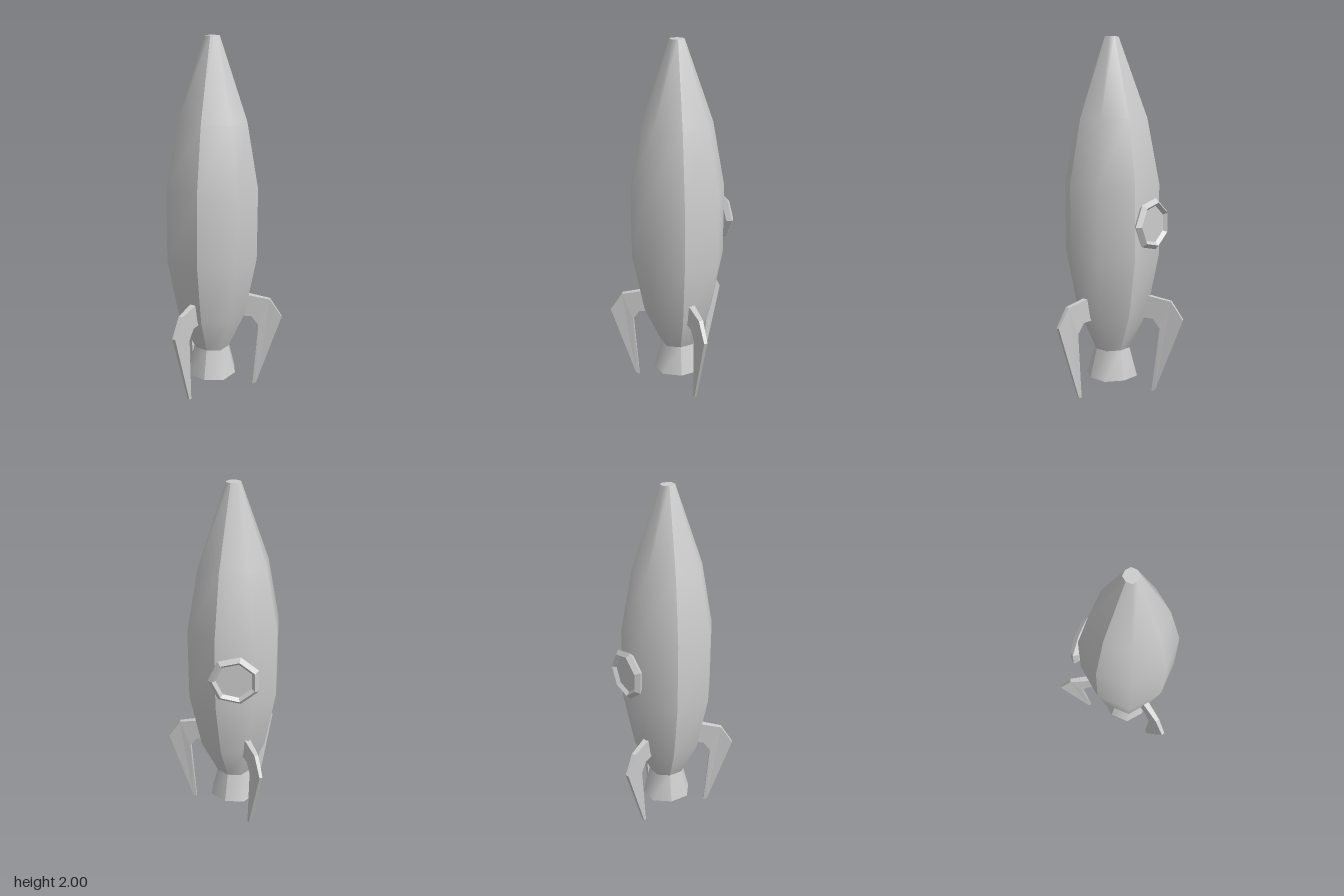
import * as THREE from 'three';
import { mergeGeometries } from 'three/addons/utils/BufferGeometryUtils.js';

const CX = -0.003, CZ = 0.073; // hull axis
const smooth = new THREE.MeshStandardMaterial({ color: 0xcccccc });
const flat = new THREE.MeshStandardMaterial({ color: 0xcccccc, flatShading: true });

function add(parent, name, geometry, material) {
  const mesh = new THREE.Mesh(geometry, material);
  mesh.name = name;
  parent.add(mesh);
  return mesh;
}

// Slightly squared octagon: diagonal corners sit a little closer in
const corner = (k, r) => {
  const a = k * Math.PI / 4, f = k % 2 ? 0.945 : 1;
  return [Math.sin(a) * r * f, Math.cos(a) * r * f];
};

// Four smooth panels meeting in sharp creases along the diagonals; profile = [radius, y]
function octagonShell(profile) {
  const panels = [];
  for (let q = 0; q < 4; q++) {
    const pos = [], index = [];
    profile.forEach(([r, y], i) => {
      for (let j = 0; j < 3; j++) {
        const [x, z] = corner(q * 2 + j + 7, r);
        pos.push(x, y, z);
        if (i && j) {
          const c = i * 3 + j, a = c - 4, b = c - 3, d = c - 1;
          index.push(a, b, c, a, c, d);
        }
      }
    });
    const g = new THREE.BufferGeometry();
    g.setAttribute('position', new THREE.Float32BufferAttribute(pos, 3));
    g.setIndex(index);
    g.computeVertexNormals();
    panels.push(g);
  }
  return mergeGeometries(panels);
}

function octagonCap(r, y, up) {
  const pts = Array.from({ length: 8 }, (_, k) => new THREE.Vector2(...corner(k, r)));
  return new THREE.ShapeGeometry(new THREE.Shape(pts))
    .rotateX(up ? -Math.PI / 2 : Math.PI / 2).translate(0, y, 0);
}

// Hooked leg, thick at the root and thin at the foot; x runs outward from the hull
function finGeometry(shift) {
  const outline = [
    [0.237, 0], [0.258, 0.01], [0.417, 0.435], [0.348, 0.54], [0.2, 0.57],
    [0.18, 0.44], [0.245, 0.435], [0.285, 0.38],
  ].map(([r, y]) => new THREE.Vector2(r - (y > 0.1 ? shift : 0), y));
  const g = new THREE.ExtrudeGeometry(new THREE.Shape(outline), { depth: 1, bevelEnabled: false });
  const p = g.attributes.position;
  for (let i = 0; i < p.count; i++) {
    const half = p.getY(i) < 0.1 ? 0.006
      : THREE.MathUtils.mapLinear(p.getX(i), 0.19, 0.417, 0.018, 0.009);
    p.setZ(i, p.getZ(i) > 0.5 ? half : -half);
  }
  g.computeVertexNormals();
  return g;
}

export function createModel() {
  const model = new THREE.Group();
  model.name = 'rocket';

  // Hull and nozzle
  const hull = new THREE.Group();
  hull.name = 'hull';
  hull.position.set(CX, 0, CZ);
  model.add(hull);
  add(hull, 'body', octagonShell([
    [0.105, 0.25], [0.205, 0.46], [0.274, 0.8], [0.274, 1.2], [0.205, 1.56], [0.042, 2],
  ]), smooth);
  add(hull, 'noseCap', octagonCap(0.042, 2, true), flat);
  add(hull, 'nozzle', octagonShell([[0.15, 0.085], [0.105, 0.25]]), smooth);
  add(hull, 'nozzleBase', octagonCap(0.15, 0.085, false), flat);

  // Three landing fins: back, left and right
  const fins = [['backFin', 90, 0], ['leftFin', -31.5, 0.02], ['rightFin', 211.5, 0.02]];
  for (const [name, degrees, shift] of fins) {
    const fin = add(model, name, finGeometry(shift), flat);
    fin.position.set(0, 0, CZ);
    fin.rotation.y = THREE.MathUtils.degToRad(degrees);
  }

  // Seven-sided porthole on the back left face
  const porthole = new THREE.Group();
  porthole.name = 'porthole';
  porthole.position.set(0.094, 0.988, -0.184);
  porthole.rotation.y = THREE.MathUtils.degToRad(-23.5);
  model.add(porthole);
  add(porthole, 'portholeFrame', new THREE.TorusGeometry(0.122, 0.024, 4, 7), flat);
  const pane = new THREE.CylinderGeometry(0.115, 0.115, 0.01, 7)
    .rotateX(Math.PI / 2).rotateZ(Math.PI / 2);
  add(porthole, 'portholePane', pane, flat);

  return model;
}
